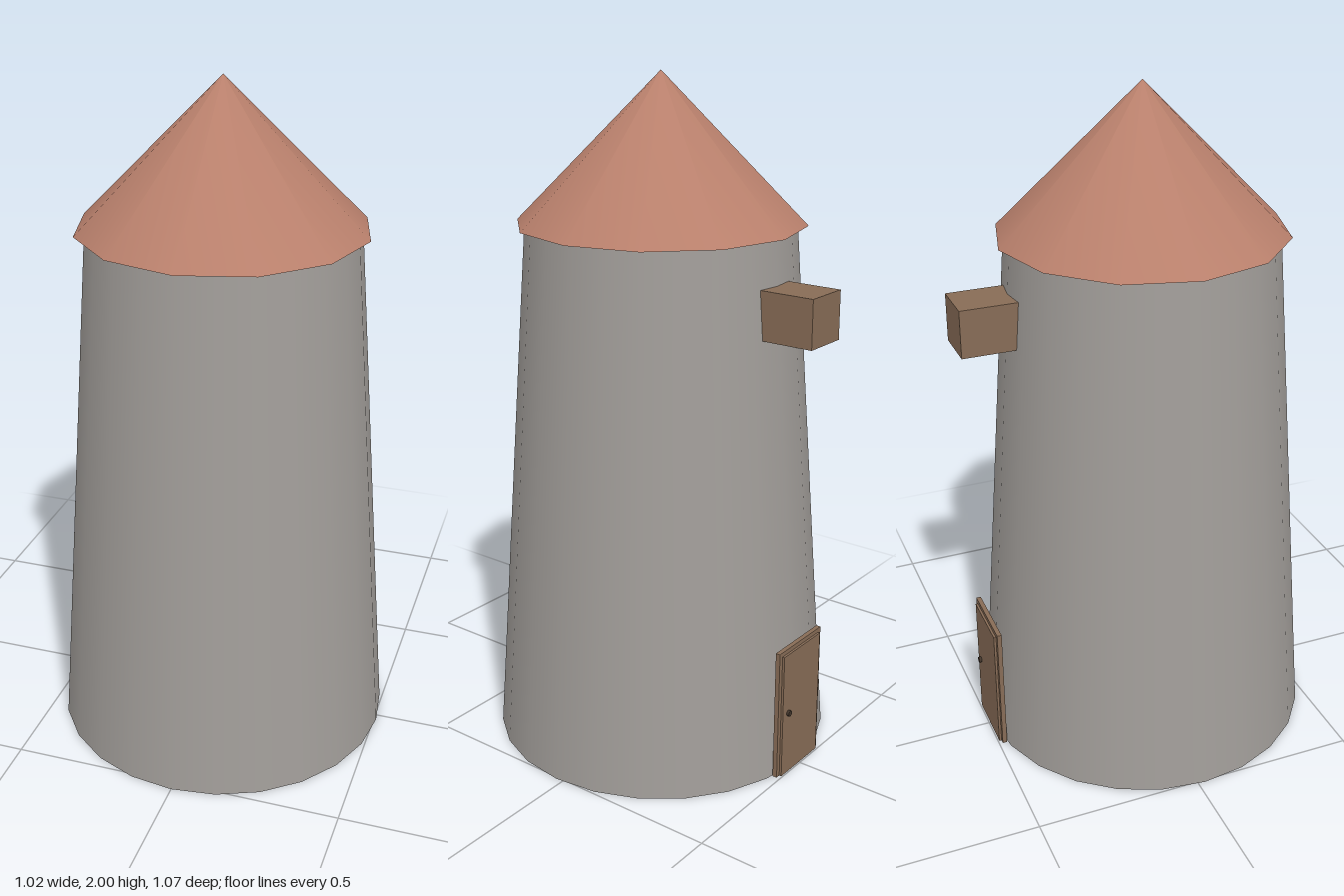
import * as THREE from 'three';

const stone = new THREE.MeshStandardMaterial({ color: 0xa19d99, side: THREE.DoubleSide });
stone.name = 'stone';
const tile = new THREE.MeshStandardMaterial({ color: 0xb9806c });
tile.name = 'roofTile';
const wood = new THREE.MeshStandardMaterial({ color: 0x876c56 });
wood.name = 'wood';
const iron = new THREE.MeshStandardMaterial({ color: 0x41352b });
iron.name = 'darkIron';

export function createModel() {
  const group = new THREE.Group();
  group.name = 'tower';

  const add = (name, geometry, material, x, y, z) => {
    const mesh = new THREE.Mesh(geometry, material);
    mesh.name = name;
    mesh.position.set(x, y, z);
    group.add(mesh);
    return mesh;
  };

  // Box given by its width, vertical range and depth range, centred on x
  const addBox = (name, width, y0, y1, z0, z1) =>
    add(name, new THREE.BoxGeometry(width, y1 - y0, z1 - z0), wood,
      0, (y0 + y1) / 2, (z0 + z1) / 2);

  const axisZ = 0.022;
  const wallHeight = 1.575;

  // Hollow tapered wall, open at the bottom
  add('wall', new THREE.CylinderGeometry(0.39, 0.508, wallHeight, 24, 1, true),
    stone, 0, wallHeight / 2, axisZ);

  // Twelve-sided conical roof with a closed underside
  const roofHeight = 2 - wallHeight;
  add('roof', new THREE.ConeGeometry(0.42, roofHeight, 12),
    tile, 0, wallHeight + roofHeight / 2, axisZ);

  // Beam stub projecting from the back under the roof
  addBox('beam', 0.14, 1.305, 1.445, -0.535, -0.36);

  // Door at the back: frame plate, raised panel and knob
  addBox('doorFrame', 0.22, 0, 0.405, -0.489, -0.475);
  addBox('doorPanel', 0.192, 0, 0.392, -0.496, -0.487);
  const knob = add('doorKnob', new THREE.CylinderGeometry(0.009, 0.009, 0.012, 10),
    iron, 0.068, 0.2, -0.498);
  knob.rotation.x = Math.PI / 2;

  return group;
}
